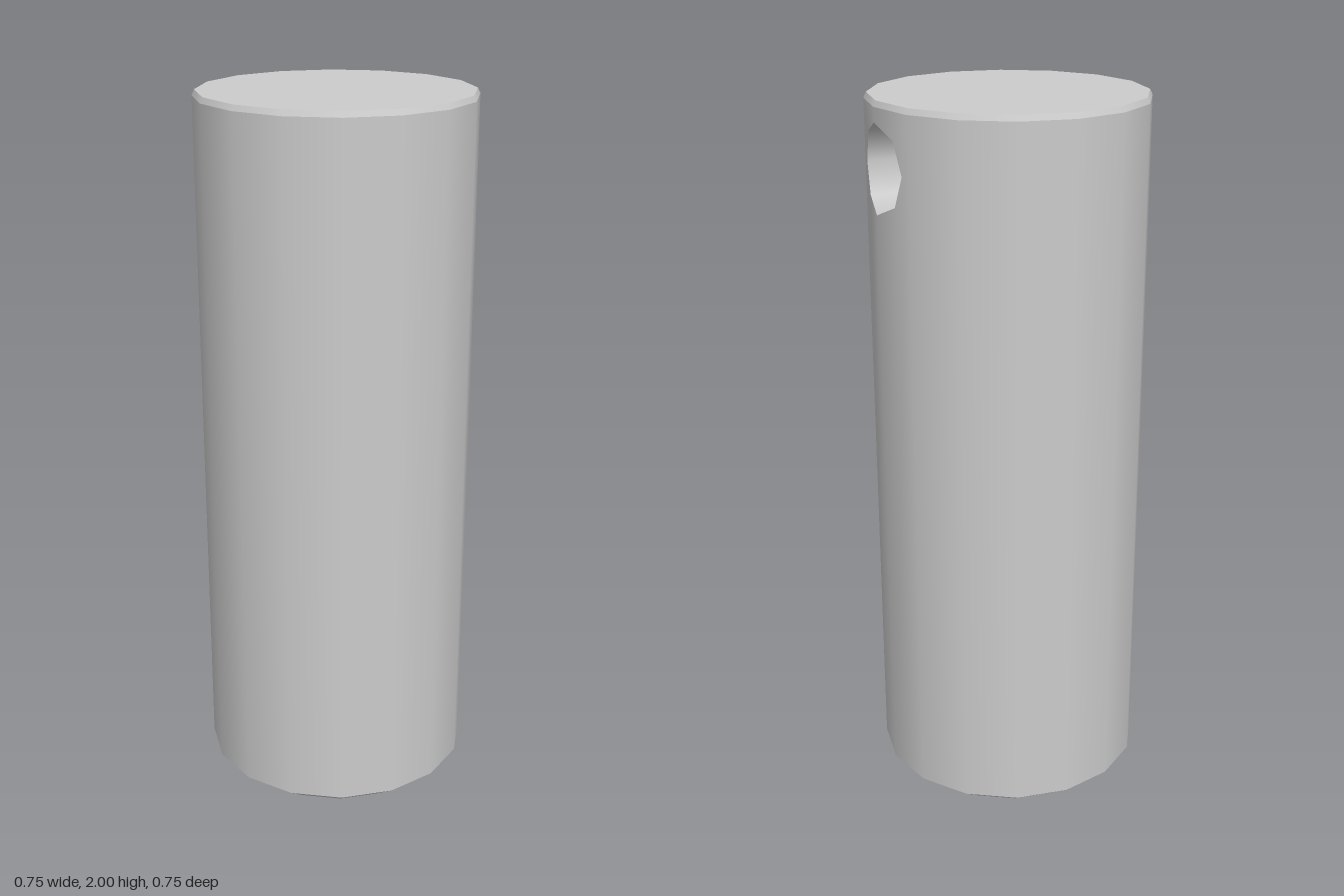
import * as THREE from 'three';

const R = 0.377, SIDES = 16, STEP = (Math.PI * 2) / SIDES;
const Y0 = 0.065, Y1 = 1.985;                // straight part of the body
const HOLE_Y = 1.828, HOLE_R = 0.118, HOLE_END = 0;

export function createModel() {
  const group = new THREE.Group();
  const material = new THREE.MeshStandardMaterial({ color: 0xcccccc });

  const add = (name, geometry) => {
    const mesh = new THREE.Mesh(geometry, material);
    mesh.name = name;
    group.add(mesh);
    return mesh;
  };
  const ring = (profile, segments = SIDES, start = 0, length = Math.PI * 2) =>
    new THREE.LatheGeometry(profile.map(p => new THREE.Vector2(...p)), segments, start, length);

  // x of the two flat facets that meet at the +x corner
  const edgeZ = R * Math.sin(STEP), edgeX = R * Math.cos(STEP);
  const surfaceX = z => R - (R - edgeX) * Math.abs(z) / edgeZ;

  // End faces and chamfers, separate so their edges stay sharp
  add('bottomFace', ring([[0, 0], [0.29, 0]]));
  add('bottomChamfer', ring([[0.29, 0], [R, Y0]]));
  add('topChamfer', ring([[R, Y1], [0.37, 2]]));
  add('topFace', ring([[0.37, 2], [0, 2]]));

  // Body wall, leaving out the two facets that carry the hole
  add('bodyWall', ring([[R, Y0], [R, Y1]], SIDES - 2, Math.PI / 2 + STEP, Math.PI * 2 - 2 * STEP));

  // Facets with half of the octagonal hole cut from each
  for (const side of [1, -1]) {
    const points = [[0, Y0], [edgeZ, Y0], [edgeZ, Y1], [0, Y1]];
    for (let i = 0; i <= 4; i++) {
      const a = (i * Math.PI) / 4;
      points.push([HOLE_R * Math.sin(a), HOLE_Y + HOLE_R * Math.cos(a)]);
    }
    const shape = new THREE.Shape(points.map(([u, y]) => new THREE.Vector2(u * side, y)));
    const panel = new THREE.ShapeGeometry(shape);
    const pos = panel.attributes.position, normal = panel.attributes.normal;
    for (let i = 0; i < pos.count; i++) {
      const z = -pos.getX(i), x = surfaceX(z), len = Math.hypot(x, z);
      pos.setXYZ(i, x, pos.getY(i), z);
      normal.setXYZ(i, x / len, 0, z / len);
    }
    add(side > 0 ? 'holePanelBack' : 'holePanelFront', panel);
  }

  // Blind hole: inward wall trimmed to the body surface, and its floor
  const wall = ring([[HOLE_R, 1], [HOLE_R, HOLE_END]], 8).rotateZ(-Math.PI / 2);
  const wp = wall.attributes.position;
  for (let i = 0; i < wp.count; i++) {
    if (wp.getX(i) > 0.5) wp.setX(i, surfaceX(wp.getZ(i)));
  }
  add('holeWall', wall).position.y = HOLE_Y;
  const floor = ring([[HOLE_R, HOLE_END], [0, HOLE_END]], 8).rotateZ(-Math.PI / 2);
  add('holeFloor', floor).position.y = HOLE_Y;

  return group;
}
